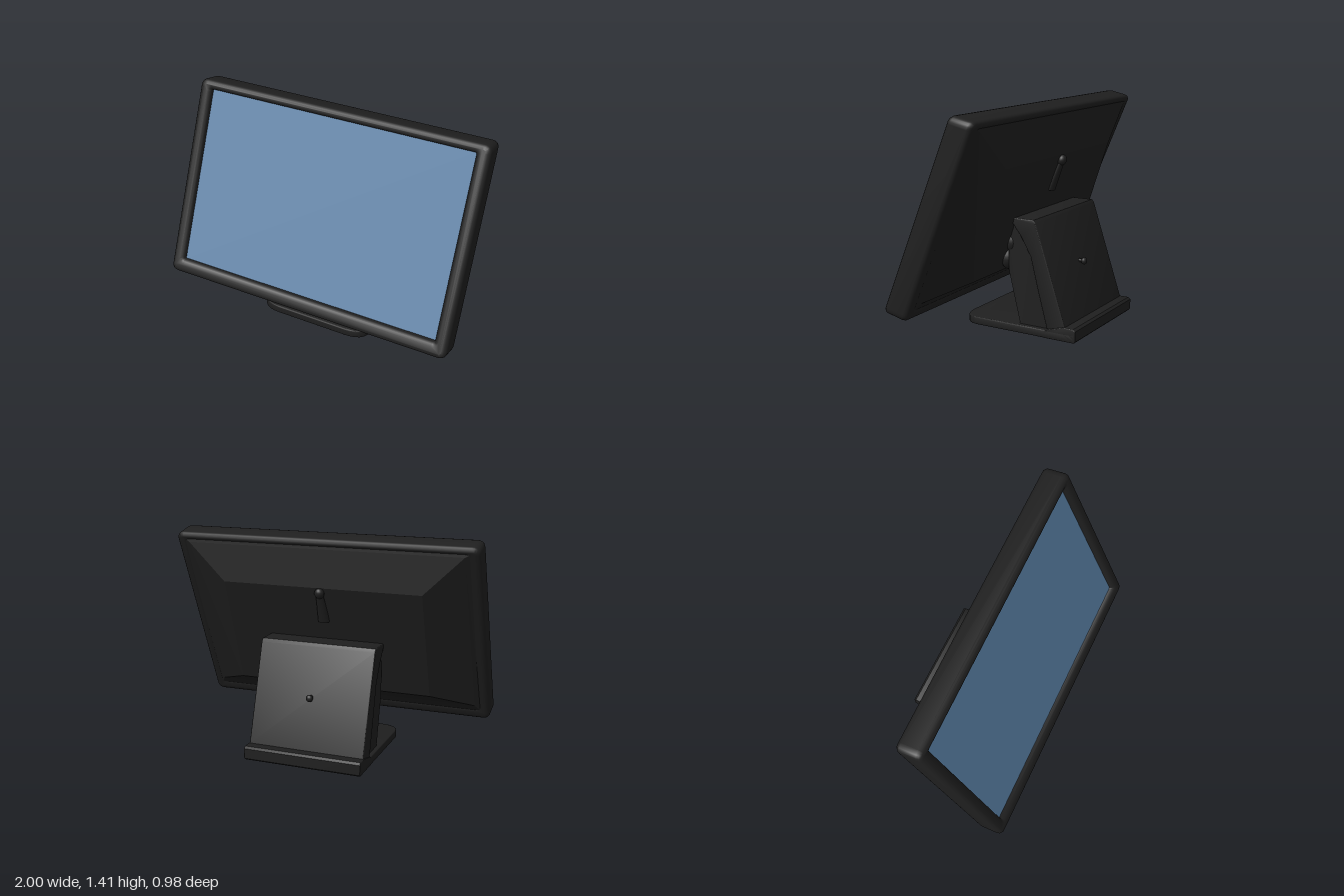
import * as THREE from 'three';
import { toCreasedNormals } from 'three/addons/utils/BufferGeometryUtils.js';

const casing = new THREE.MeshStandardMaterial({ color: 0x1f1f1f });
casing.name = 'black casing';
const glass = new THREE.MeshStandardMaterial({ color: 0x5a7fa4 });
glass.name = 'blue screen';

function add(parent, name, geometry, material = casing, x = 0, y = 0, z = 0) {
  const mesh = new THREE.Mesh(geometry, material);
  mesh.name = name;
  mesh.position.set(x, y, z);
  parent.add(mesh);
  return mesh;
}

// Rectangle with rounded corners
function roundedRect(x0, y0, x1, y1, r, Kind = THREE.Shape) {
  const s = new Kind();
  s.moveTo(x0 + r, y0);
  s.lineTo(x1 - r, y0).quadraticCurveTo(x1, y0, x1, y0 + r);
  s.lineTo(x1, y1 - r).quadraticCurveTo(x1, y1, x1 - r, y1);
  s.lineTo(x0 + r, y1).quadraticCurveTo(x0, y1, x0, y1 - r);
  s.lineTo(x0, y0 + r).quadraticCurveTo(x0, y0, x0 + r, y0);
  return s;
}

// Extrusion whose bevel stays inside the outline and the depth
function extrude(shape, depth, bevel = 0) {
  const geo = new THREE.ExtrudeGeometry(shape, {
    depth: depth - 2 * bevel, bevelEnabled: bevel > 0, bevelSize: bevel,
    bevelThickness: bevel, bevelOffset: -bevel, bevelSegments: 3, curveSegments: 6,
  });
  geo.translate(0, 0, bevel);
  return toCreasedNormals(geo, 0.6);
}

// Side profile in (z, y), given a width along x
function sideProfile(points, width, bevel) {
  const shape = new THREE.Shape(points.map(([z, y]) => new THREE.Vector2(z, y)));
  return extrude(shape, width, bevel).translate(0, 0, -width / 2).rotateY(-Math.PI / 2);
}

// Four-sided loft with a closed end; rings run anticlockwise seen from behind
function loft(rings) {
  const pos = [], index = [];
  rings.forEach(ring => ring.forEach(p => pos.push(...p)));
  for (let r = 0; r < rings.length - 1; r++) {
    for (let i = 0; i < 4; i++) {
      const a = r * 4 + i, b = r * 4 + (i + 1) % 4;
      index.push(a, b, b + 4, a, b + 4, a + 4);
    }
  }
  const e = (rings.length - 1) * 4;
  index.push(e, e + 1, e + 2, e, e + 2, e + 3);
  const geo = new THREE.BufferGeometry();
  geo.setAttribute('position', new THREE.Float32BufferAttribute(pos, 3));
  geo.setIndex(index);
  const flat = geo.toNonIndexed();
  flat.computeVertexNormals();
  return flat;
}

// Ring with separate depths at its top and bottom edges
const ring = (hx, y0, y1, zBottom, zTop) =>
  [[hx, y0, zBottom], [-hx, y0, zBottom], [-hx, y1, zTop], [hx, y1, zTop]];

function createDisplay() {
  const display = new THREE.Group();
  display.name = 'display';
  display.position.set(0, 0.786, 0.164);
  display.rotation.set(-THREE.MathUtils.degToRad(23), 0.008, 0);

  // Frame with a rounded opening; its top and bottom faces lean towards level
  const outline = roundedRect(-1, -0.65, 1, 0.665, 0.05);
  outline.holes.push(roundedRect(-0.912, -0.555, 0.912, 0.602, 0.01, THREE.Path));
  const frame = extrude(outline, 0.168, 0.03).translate(0, 0, -0.084);
  frame.applyMatrix4(new THREE.Matrix4().makeShear(0, 0, 0, 0, 0, -0.18));
  add(display, 'frame', frame);

  // Recessed screen on its backing
  add(display, 'screenBacking', new THREE.BoxGeometry(1.9, 1.22, 0.125), casing, 0, 0.02, -0.0175);
  add(display, 'screen', new THREE.BoxGeometry(1.83, 1.17, 0.006), glass, 0, 0.0145, 0.048);

  // Sloped back cover
  add(display, 'backCover', loft([
    ring(0.95, -0.57, 0.64, -0.08, -0.08),
    ring(0.91, -0.51, 0.62, -0.1, -0.09),
    ring(0.66, -0.34, 0.4, -0.25, -0.193),
  ]));

  // Cable clip with a tapering tail
  const knob = add(display, 'clipKnob', new THREE.SphereGeometry(0.032, 16, 12), casing, 0, 0.37, -0.207);
  knob.scale.set(1, 1.1, 0.9);
  const tail = add(display, 'clipTail', new THREE.CylinderGeometry(0.025, 0.04, 0.2, 12), casing, 0, 0.26, -0.208);
  tail.scale.z = 0.6;
  return display;
}

function createStand() {
  const stand = new THREE.Group();
  stand.name = 'stand';

  // Leaning core and wider rear shell
  add(stand, 'standCore', sideProfile(
    [[-0.085, 0.03], [0, 0.38], [0, 0.6], [-0.03, 0.72], [-0.18, 0.72], [-0.39, 0.03]], 0.72, 0));
  add(stand, 'rearShell', sideProfile(
    [[-0.29, 0.04], [-0.22, 0.3], [-0.17, 0.5], [-0.1, 0.62], [-0.03, 0.71], [-0.035, 0.73],
      [-0.19, 0.73], [-0.205, 0.71], [-0.41, 0.09], [-0.42, 0.04]], 0.77, 0.006));

  // Thumb knob on the back
  const stem = add(stand, 'knobStem', new THREE.CylinderGeometry(0.012, 0.012, 0.06, 12), casing, 0, 0.41, -0.315);
  stem.rotation.x = Math.PI / 2;
  const head = add(stand, 'knobHead', new THREE.SphereGeometry(0.023, 16, 12), casing, 0, 0.41, -0.337);
  head.scale.z = 0.8;

  // Hinge barrel and its side lugs
  const barrel = add(stand, 'hingeBarrel', new THREE.CylinderGeometry(0.08, 0.08, 0.6, 20), casing, 0, 0.51, 0.02);
  barrel.rotation.z = Math.PI / 2;
  [[0.45, 0.03, 0.07], [0.56, -0.005, 0.07]].forEach(([y, z, r]) => {
    const lug = add(stand, 'hingeLug', new THREE.SphereGeometry(r, 16, 12), casing, 0.31, y, z);
    lug.scale.set(0.9, 1, 0.65);
  });
  return stand;
}

function createBase() {
  const base = new THREE.Group();
  base.name = 'base';

  // Foot plate with rounded front corners
  const plate = new THREE.Shape();
  plate.moveTo(-0.39, 0.47);
  plate.lineTo(-0.39, -0.24);
  plate.quadraticCurveTo(-0.38, -0.34, -0.25, -0.34);
  plate.lineTo(0.25, -0.34);
  plate.quadraticCurveTo(0.38, -0.34, 0.39, -0.24);
  plate.lineTo(0.39, 0.47);
  add(base, 'footPlate', extrude(plate, 0.053, 0.008).rotateX(-Math.PI / 2));

  // Raised rear lip
  add(base, 'rearLip', sideProfile(
    [[-0.475, 0], [-0.485, 0.01], [-0.485, 0.075], [-0.47, 0.088], [-0.4, 0.088], [-0.27, 0.053], [-0.27, 0]],
    0.78, 0.004));
  return base;
}

export function createModel() {
  const model = new THREE.Group();
  model.name = 'desktopTerminal';
  model.add(createDisplay(), createStand(), createBase());
  return model;
}
